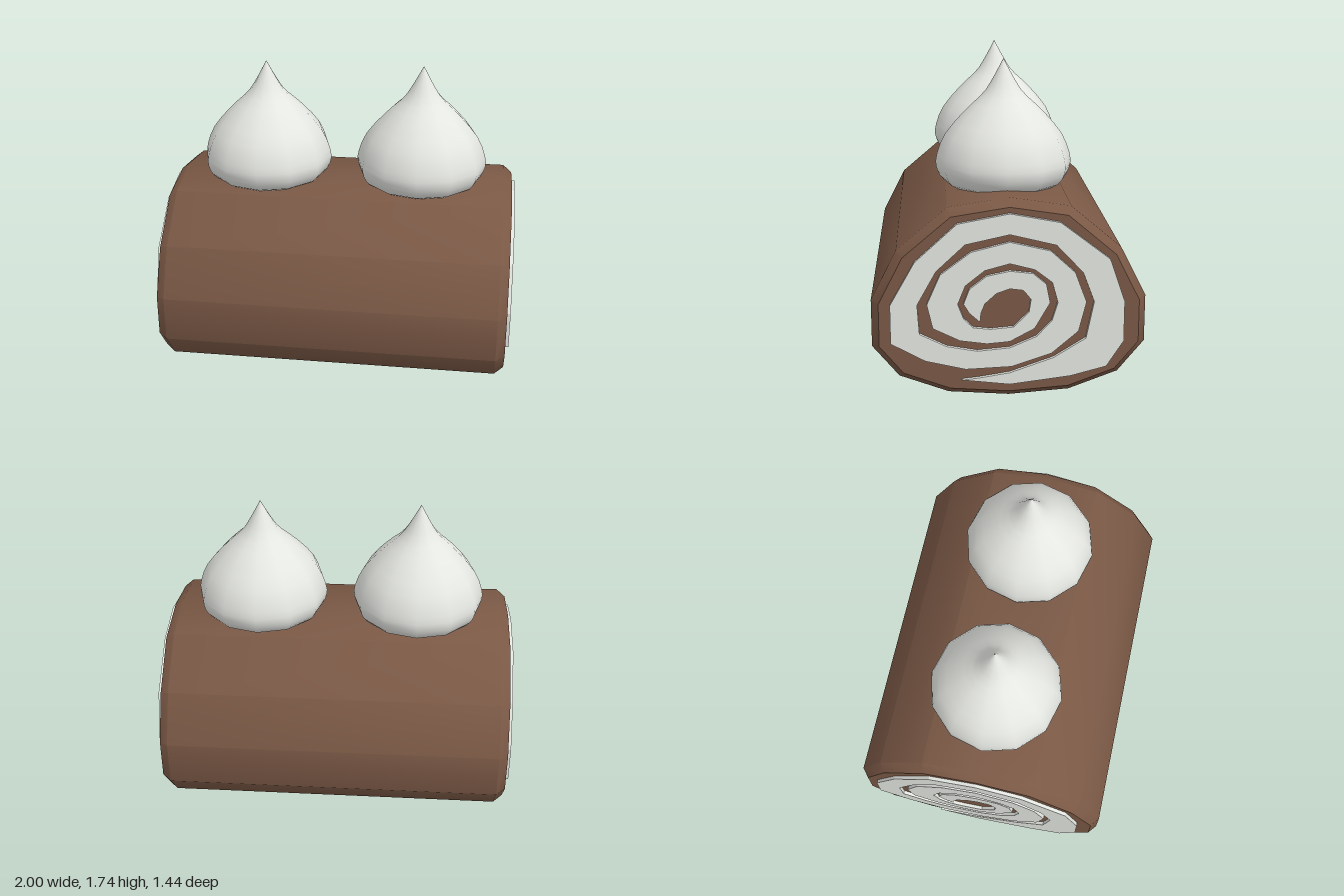
import * as THREE from 'three';
import { toCreasedNormals } from 'three/addons/utils/BufferGeometryUtils.js';

const sponge = new THREE.MeshStandardMaterial({ color: 0x7a5845 });
sponge.name = 'chocolate sponge';
const cream = new THREE.MeshStandardMaterial({ color: 0xe6e8e3 });
cream.name = 'whipped cream';

// Half of the roll's cross-section, top to bottom (across, up)
const HALF = [[0, 1.09], [0.32, 1.04], [0.585, 0.815], [0.72, 0.55], [0.72, 0.295], [0.58, 0.125], [0.32, 0.028], [0, 0.004]];

// Cream spiral edges in hundredths (across, up), from the tail at the bottom to the centre
const OUTER = [
  [-25, 12], [0, 9], [32, 13], [51, 18], [60, 32], [60, 54], [52, 77], [26, 97], [0, 102], [-27, 97], [-49, 77], [-62, 54], [-62, 33],
  [-44, 23], [-23, 18], [1, 19], [22, 26], [36, 38], [40, 54], [34, 70], [21, 82], [0, 87], [-20, 82], [-36, 70], [-43, 54], [-40, 41],
  [-26, 34], [-12, 32], [0, 33], [13, 40], [21, 54], [19, 64], [12, 70], [0, 71.5], [-12, 69], [-21, 62], [-24, 54], [-21, 49], [-15.5, 44],
];
const INNER = [
  [-16, 13], [0, 15.5], [23, 23.5], [40, 34], [44, 54], [38, 70], [24, 85], [0, 91], [-23, 86], [-38, 72], [-48, 54], [-47, 38],
  [-33, 31], [-17, 28], [0, 29.5], [14, 35.5], [22, 44], [25, 54], [22, 65], [13, 72], [0, 75.5], [-13, 72], [-23, 64], [-27, 54], [-24, 46],
  [-19, 41], [-10, 40], [2, 41], [10, 49], [11, 56], [7, 61], [0, 62], [-7, 59.5], [-13, 54], [-15, 49],
];

function makeShape(points, scale = 1) {
  return new THREE.Shape(points.map(([a, b]) => new THREE.Vector2(a * scale, b * scale)));
}

function addMesh(parent, name, geometry, material) {
  const mesh = new THREE.Mesh(geometry, material);
  mesh.name = name;
  parent.add(mesh);
  return mesh;
}

export function createModel() {
  const group = new THREE.Group();
  group.name = 'swissRoll';

  // Sponge log with chamfered ends
  const mirrored = HALF.slice(1, -1).reverse().map(([a, b]) => [-a, b]);
  const log = new THREE.ExtrudeGeometry(makeShape([...HALF, ...mirrored]), {
    depth: 1.86, bevelEnabled: true, bevelSegments: 1, bevelThickness: 0.05, bevelSize: 0.04, bevelOffset: -0.04,
  });
  log.translate(0, 0, -0.93);
  log.rotateY(Math.PI / 2);
  addMesh(group, 'spongeLog', toCreasedNormals(log, 0.74), sponge);

  // Raised cream spiral on each end
  const spiral = new THREE.ExtrudeGeometry(makeShape([...OUTER, ...INNER.slice().reverse()], 0.01), { depth: 0.05, bevelEnabled: false });
  spiral.translate(0, 0, 0.95);
  spiral.rotateY(Math.PI / 2);
  addMesh(group, 'leftCreamSpiral', spiral, cream);
  addMesh(group, 'rightCreamSpiral', spiral, cream).rotation.y = Math.PI;

  // Two piped cream dollops on top
  const profile = new THREE.SplineCurve([
    [0.27, 1.045], [0.335, 1.08], [0.368, 1.14], [0.368, 1.21], [0.32, 1.33], [0.21, 1.46], [0.11, 1.555], [0.055, 1.64], [0.001, 1.74],
  ].map(([r, y]) => new THREE.Vector2(r, y)));
  const dollop = new THREE.LatheGeometry([new THREE.Vector2(0, 1.035), ...profile.getPoints(18)], 12);
  for (const [name, x] of [['leftCreamDollop', 0.45], ['rightCreamDollop', -0.45]]) {
    addMesh(group, name, dollop, cream).position.x = x;
  }

  return group;
}
